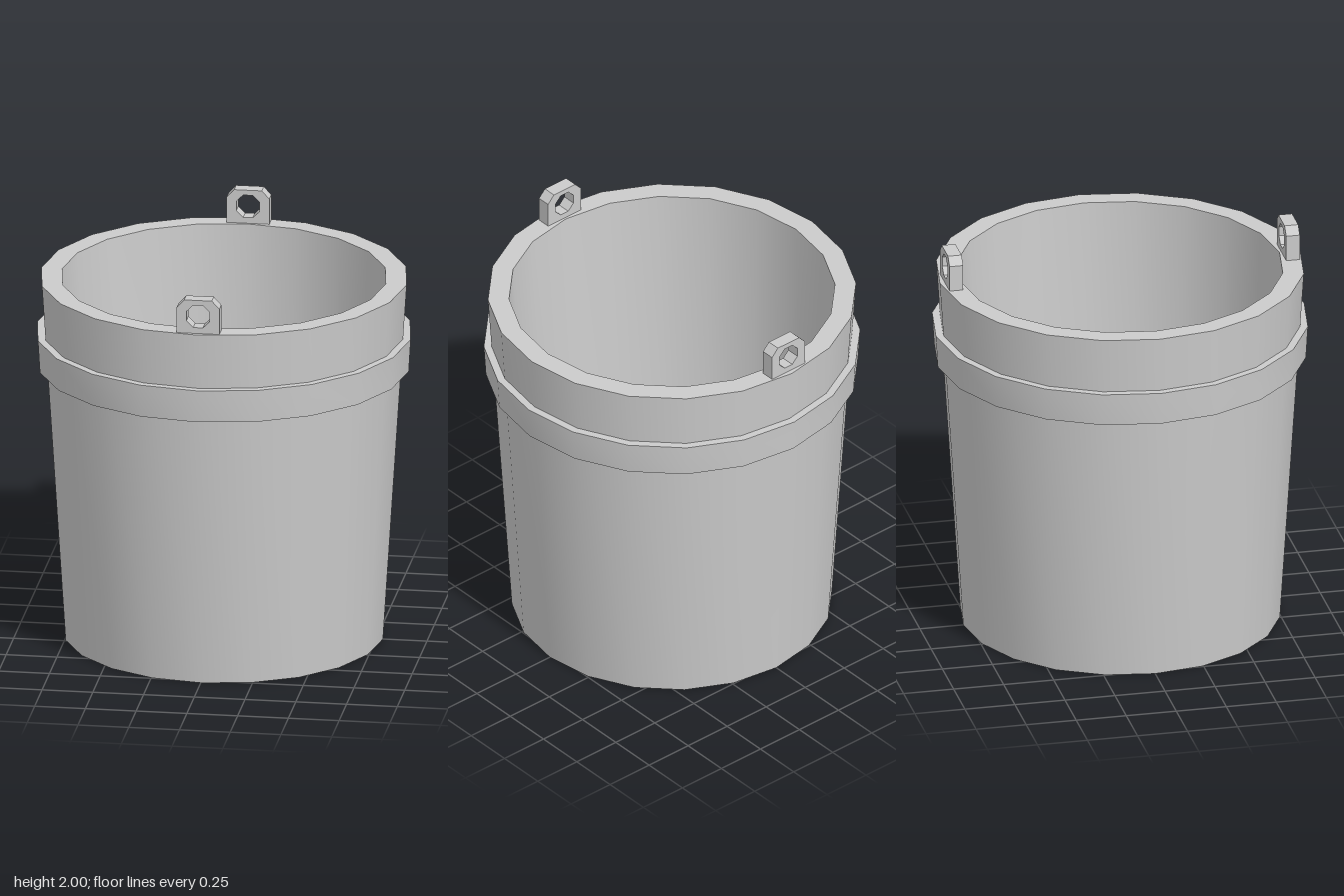
import * as THREE from 'three';
import { toCreasedNormals } from 'three/addons/utils/BufferGeometryUtils.js';

const SIDES = 20;
const material = new THREE.MeshStandardMaterial({ color: 0xcccccc });

// Spin a [radius, height] profile, smooth around and sharp at the rims
function turned(name, profile) {
  const points = profile.map(([r, y]) => new THREE.Vector2(r, y));
  const geometry = toCreasedNormals(new THREE.LatheGeometry(points, SIDES), 0.6);
  const mesh = new THREE.Mesh(geometry, material);
  mesh.name = name;
  return mesh;
}

// Chamfered plate with an octagonal eye, centred on its thickness
function lugGeometry() {
  const depth = 0.068;
  const shape = new THREE.Shape([
    [-0.105, 1.828], [0.105, 1.828], [0.105, 1.96],
    [0.068, 2], [-0.068, 2], [-0.105, 1.96],
  ].map(([x, y]) => new THREE.Vector2(x, y)));
  const eye = [];
  for (let i = 0; i < 8; i++) {
    const a = -(i + 0.5) * Math.PI / 4;
    eye.push(new THREE.Vector2(0.062 * Math.cos(a), 1.917 + 0.062 * Math.sin(a)));
  }
  shape.holes.push(new THREE.Path(eye));
  return new THREE.ExtrudeGeometry(shape, { depth, bevelEnabled: false })
    .translate(0, 0, -depth / 2);
}

export function createModel() {
  const bucket = new THREE.Group();
  bucket.name = 'bucket';

  // Tapered, thick-walled body: base, outer wall, rim, inner wall, floor
  bucket.add(turned('body', [
    [0, 0], [0.783, 0], [0.9, 1.83], [0.797, 1.83], [0.7, 0.1], [0, 0.1],
  ]));

  // Raised band around the upper wall
  bucket.add(turned('hoop', [
    [0.86, 1.385], [0.91, 1.385], [0.92, 1.55], [0.87, 1.55], [0.86, 1.385],
  ]));

  // Handle lugs standing on the rim, front and back
  const lug = lugGeometry();
  for (const [name, side] of [['frontLug', 1], ['backLug', -1]]) {
    const mesh = new THREE.Mesh(lug, material);
    mesh.name = name;
    mesh.position.z = side * 0.841;
    bucket.add(mesh);
  }
  return bucket;
}
